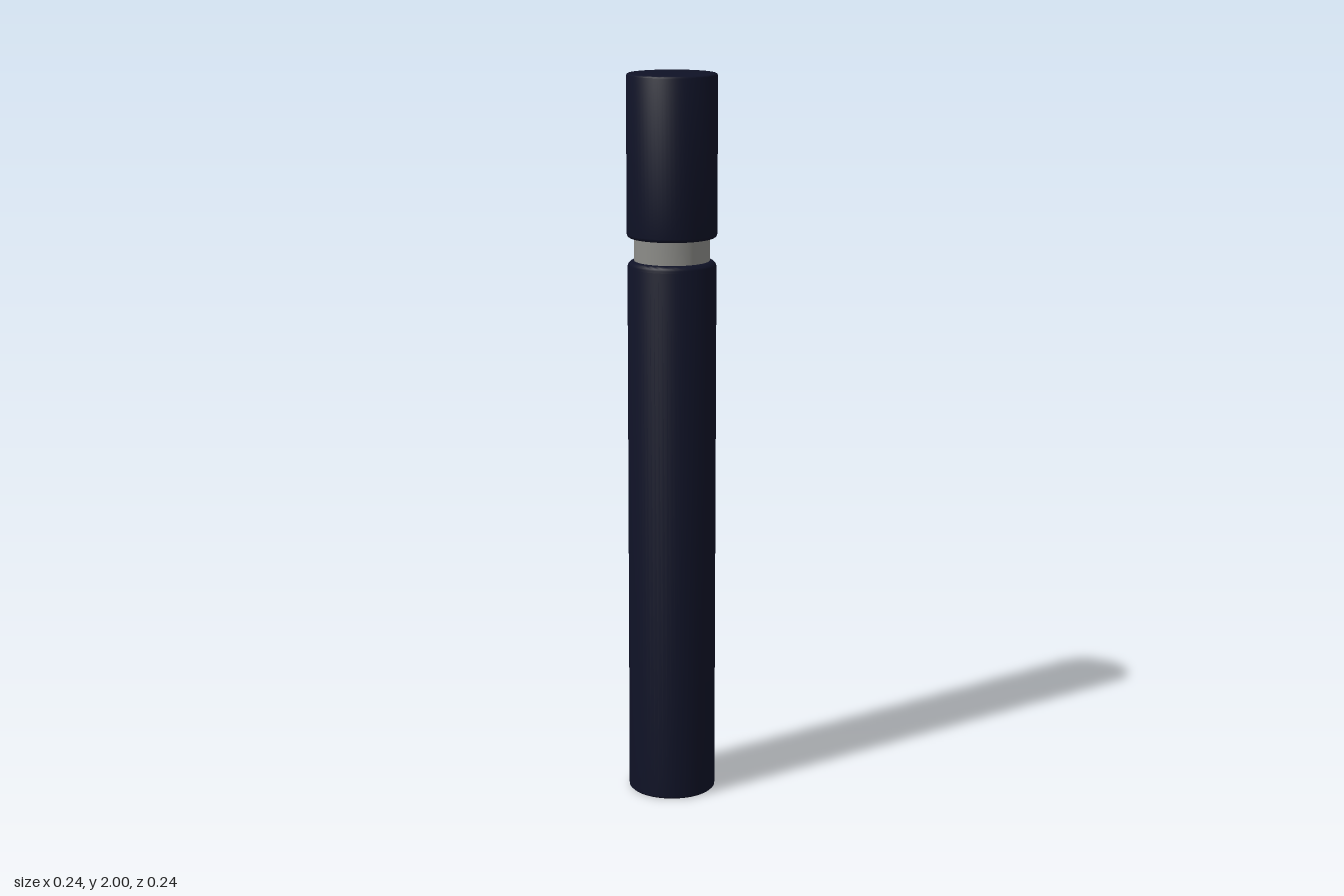
import * as THREE from 'three';
import { toCreasedNormals } from 'three/addons/utils/BufferGeometryUtils.js';

const SIDES = 64;

// Turned part from [radius, height] pairs, listed from bottom to top
function turned(name, profile, color) {
  const points = profile.map(([r, y]) => new THREE.Vector2(r, y));
  const geometry = toCreasedNormals(new THREE.LatheGeometry(points, SIDES), 0.6);
  const mesh = new THREE.Mesh(geometry, new THREE.MeshStandardMaterial({ color }));
  mesh.name = name;
  return mesh;
}

// Quarter-round edge: outer radius r, flat face at height y, dir +1 for a top edge, -1 for a bottom edge
function roundedEdge(r, y, size, dir, steps = 5) {
  const edge = [];
  for (let i = 0; i <= steps; i++) {
    const a = (i / steps) * Math.PI / 2;
    edge.push([r - size + size * Math.cos(a), y + dir * size * (Math.sin(a) - 1)]);
  }
  return dir > 0 ? edge : edge.reverse();
}

export function createModel() {
  const model = new THREE.Group();
  model.name = 'cappedTube';
  const navy = 0x0f1226;

  // Long lower tube with a rounded shoulder
  model.add(turned('body', [
    [0, 0], [0.116, 0], [0.12, 0.004],
    ...roundedEdge(0.12, 1.5, 0.018, 1),
    [0, 1.5],
  ], navy));

  // Narrow metal collar between body and cap
  model.add(turned('collar', [
    [0, 1.49], [0.102, 1.49], [0.102, 1.575], [0, 1.575],
  ], 0x8c8c88));

  // Cap, slightly wider than the body
  model.add(turned('cap', [
    [0, 1.563],
    ...roundedEdge(0.122, 1.563, 0.01, -1),
    ...roundedEdge(0.122, 2, 0.007, 1),
    [0, 2],
  ], navy));

  return model;
}
